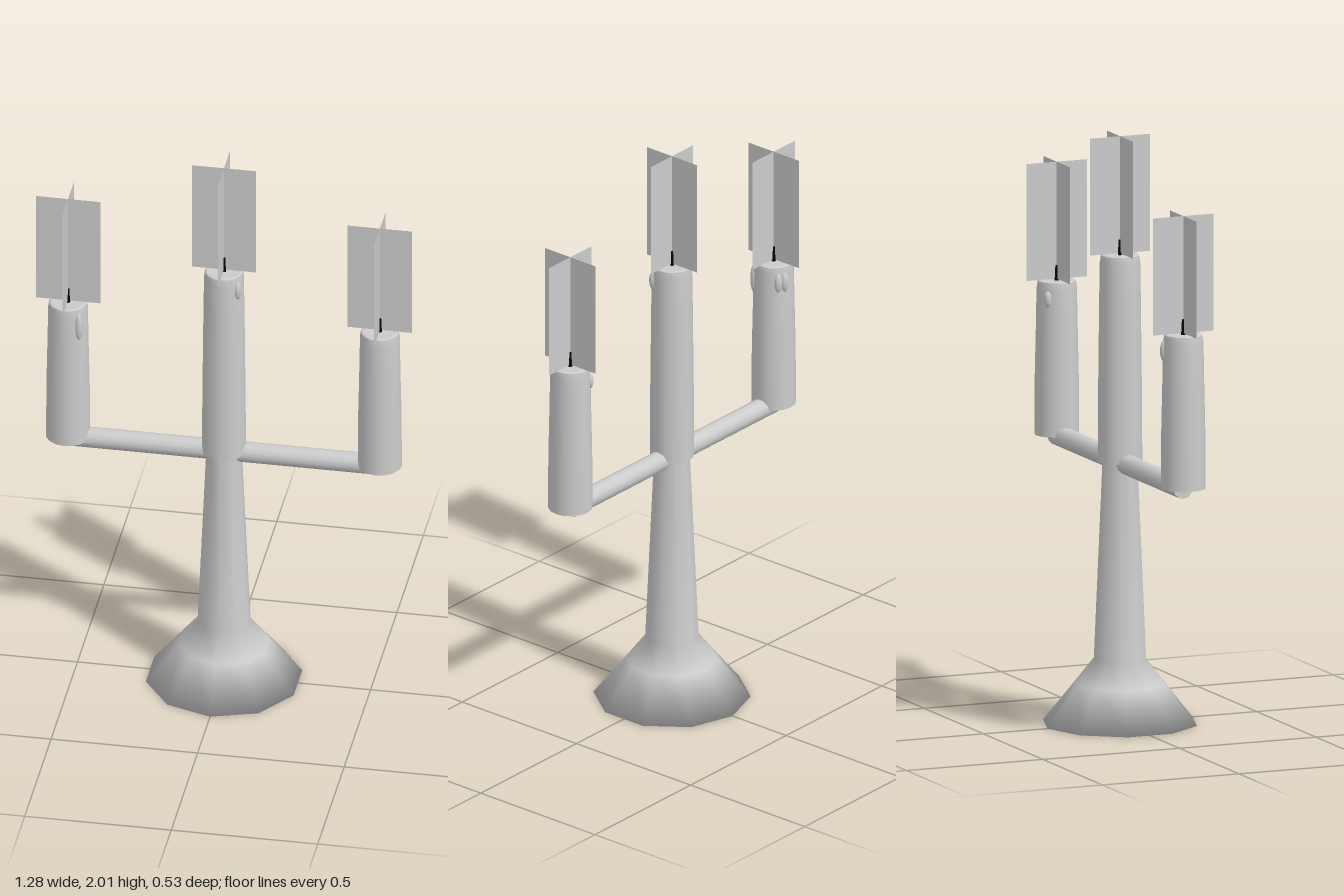
import * as THREE from 'three';

const metal = new THREE.MeshStandardMaterial({ color: 0xcccccc });
metal.name = 'pale grey';
const wickBlack = new THREE.MeshStandardMaterial({ color: 0x050505 });
wickBlack.name = 'wick black';
const flameGrey = new THREE.MeshStandardMaterial({ color: 0xcccccc, side: THREE.DoubleSide });
flameGrey.name = 'flame grey';

function part(parent, name, geometry, material, x = 0, y = 0, z = 0) {
  const mesh = new THREE.Mesh(geometry, material);
  mesh.name = name;
  mesh.position.set(x, y, z);
  parent.add(mesh);
  return mesh;
}

const lathe = (points, sides) =>
  new THREE.LatheGeometry(points.map(([r, y]) => new THREE.Vector2(r, y)), sides);

// Candle standing at x, with wick, crossed flame cards and wax drips [angle, y, halfHeight]
function candle(parent, name, x, top, drips) {
  const group = new THREE.Group();
  group.name = name;
  group.position.x = x;
  parent.add(group);

  const bottom = 0.895;
  part(group, 'waxBody', lathe([
    [0.075, bottom], [0.074, bottom + 0.2], [0.07, top - 0.15],
    [0.068, top - 0.03], [0.064, top - 0.005],
  ], 16), metal);
  part(group, 'waxTop', lathe([
    [0.064, top - 0.005], [0.058, top], [0.05, top - 0.004], [0, top - 0.006],
  ], 16), metal);
  part(group, 'waxUnderside', lathe([[0, bottom], [0.075, bottom]], 16), metal);

  part(group, 'wick', new THREE.CylinderGeometry(0.005, 0.008, 0.055, 6), wickBlack, 0, top + 0.02, 0);

  for (let i = 0; i < 2; i++) {
    const card = part(group, 'flameCard', new THREE.PlaneGeometry(0.22, 0.4), flameGrey, 0, top + 0.2, 0);
    card.rotation.y = i * Math.PI / 2;
  }

  for (const [angle, y, halfHeight] of drips) {
    const drip = part(group, 'waxDrip', new THREE.SphereGeometry(1, 10, 8), metal,
      Math.sin(angle) * 0.066, y, Math.cos(angle) * 0.066);
    drip.scale.set(0.014, halfHeight, 0.013);
    drip.rotation.y = angle;
  }
}

export function createModel() {
  const model = new THREE.Group();
  model.name = 'candelabra';

  // Ten-sided flared foot with a tapering stem
  part(model, 'footAndStem', lathe([
    [0, 0.015], [0.265, 0], [0.155, 0.138], [0.09, 0.22], [0.06, 0.9],
  ], 10), metal);

  // Cross arm
  const arm = part(model, 'crossArm', new THREE.CylinderGeometry(0.035, 0.035, 1.064, 12), metal, 0, 0.893, 0);
  arm.rotation.z = Math.PI / 2;

  candle(model, 'centreCandle', 0, 1.605, [[0.95, 1.55, 0.034]]);
  candle(model, 'rightCandle', -0.532, 1.425, [
    [0.75, 1.355, 0.052], [2.85, 1.365, 0.035], [2.5, 1.365, 0.035],
  ]);
  candle(model, 'leftCandle', 0.532, 1.425, [[-2.45, 1.365, 0.028]]);

  return model;
}
